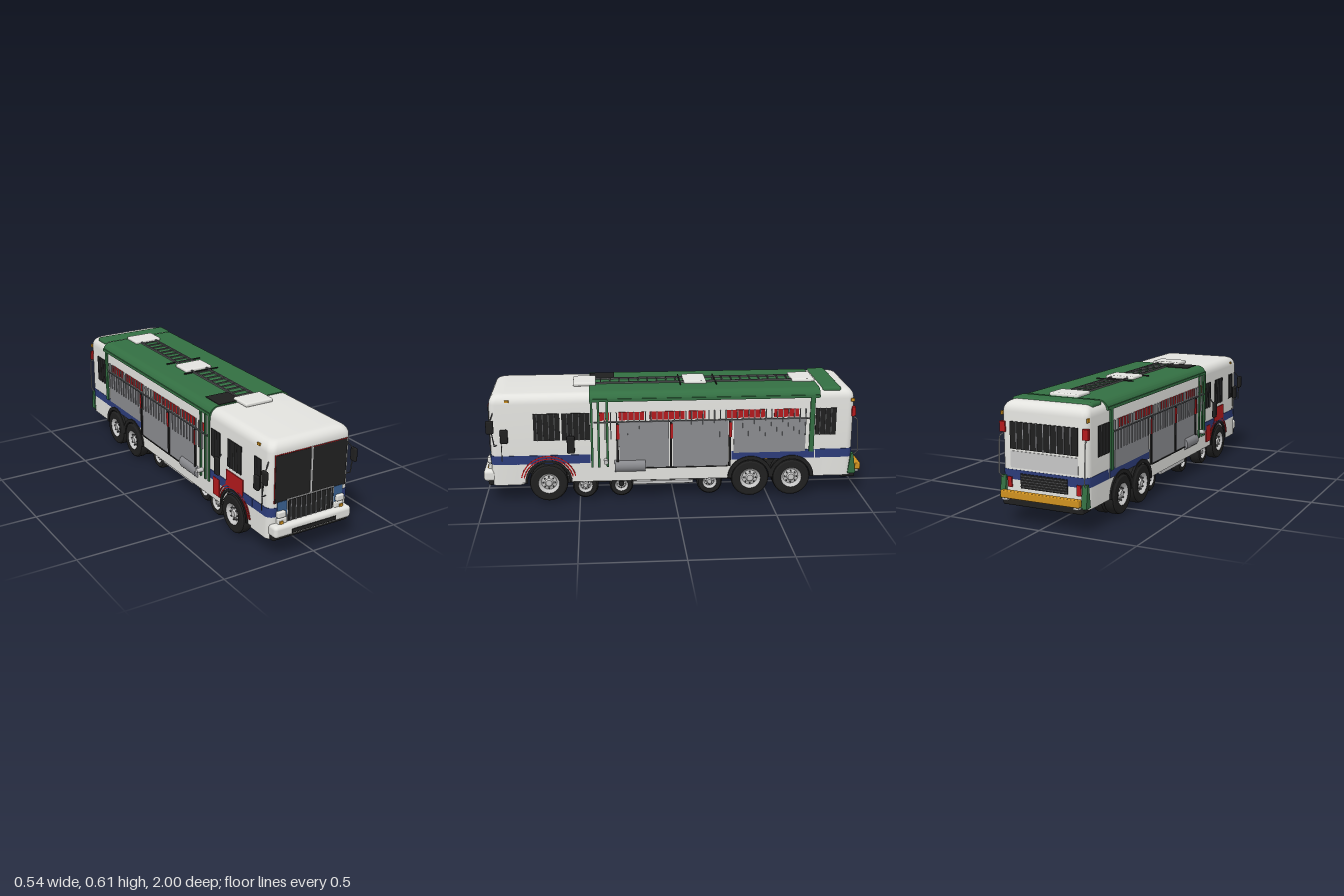
import * as THREE from 'three';
import { toCreasedNormals } from 'three/addons/utils/BufferGeometryUtils.js';
import { RoundedBoxGeometry } from 'three/addons/geometries/RoundedBoxGeometry.js';

export function createModel() {
  const bus = new THREE.Group();
  bus.name = 'bus';
  const paint = (name, color, extra = {}) => Object.assign(new THREE.MeshStandardMaterial({ color, ...extra }), { name });
  const white = paint('white', 0xe2e2de), green = paint('green', 0x336f42, { side: THREE.DoubleSide });
  const black = paint('black', 0x202020), navy = paint('navy', 0x2c3c7a), blue = paint('blue', 0x38608f);
  const red = paint('red', 0xb3191c), amber = paint('amber', 0xcf9120), grey = paint('grey', 0x8b8c90);
  const silver = paint('silver', 0xc6c6c6), steel = paint('darkSteel', 0x555658);
  const W = 0.231; // half width of the body

  const add = (name, geo, mat, x = 0, y = 0, z = 0) => {
    const m = new THREE.Mesh(geo, mat);
    m.name = name;
    m.position.set(x, y, z);
    bus.add(m);
    return m;
  };
  const box = (name, mat, w, h, d, x, y, z) => add(name, new THREE.BoxGeometry(w, h, d), mat, x, y, z);
  const soft = (name, mat, w, h, d, x, y, z, r) => add(name, new RoundedBoxGeometry(w, h, d, 3, r), mat, x, y, z);
  // plate on a side wall, given by how far it stands out and its side-view extents
  const panel = (name, mat, s, out, z0, z1, y0, y1) =>
    box(name, mat, 0.008, y1 - y0, Math.abs(z1 - z0), s * (W + out - 0.004), (y0 + y1) / 2, (z0 + z1) / 2);
  const rod = (name, mat, r, ...pts) => {
    const path = new THREE.CurvePath();
    const v = pts.map(p => new THREE.Vector3(...p));
    for (let i = 1; i < v.length; i++) path.add(new THREE.LineCurve3(v[i - 1], v[i]));
    return add(name, new THREE.TubeGeometry(path, (v.length - 1) * 4, r, 8), mat);
  };

  // rounded plan outline lofted upward through [height, inset] rings
  const loft = (w, z0, z1, r, rings) => {
    const pos = [], idx = [], N = 7, n = N * 4;
    for (const [y, inset] of rings) for (let c = 0; c < 4; c++) for (let i = 0; i < N; i++) {
      const a = (c + i / (N - 1)) * Math.PI / 2;
      const sx = c === 0 || c === 3 ? 1 : -1, front = c < 2;
      pos.push(sx * (w - inset - r) + r * Math.cos(a), y,
        (front ? z1 - inset - r : z0 + inset + r) + r * Math.sin(a));
    }
    for (let k = 0; k < rings.length - 1; k++) for (let j = 0; j < n; j++) {
      const a = k * n + j, b = k * n + (j + 1) % n;
      idx.push(a, a + n, b, b, a + n, b + n);
    }
    const last = (rings.length - 1) * n;
    for (let j = 1; j < n - 1; j++) {
      idx.push(last, last + j + 1, last + j);
      idx.push(0, j, j + 1);
    }
    const g = new THREE.BufferGeometry();
    g.setAttribute('position', new THREE.Float32BufferAttribute(pos, 3));
    g.setIndex(idx);
    return toCreasedNormals(g, 0.6);
  };

  // main shell with rolled roof edge
  const roll = [[0.24, 0], [0.535, 0]];
  for (let i = 1; i <= 6; i++) {
    const a = i / 6 * Math.PI / 2;
    roll.push([0.535 + 0.05 * Math.sin(a), 0.045 * (1 - Math.cos(a))]);
  }
  add('upperBody', loft(W, -0.945, 0.955, 0.035, roll), white);
  add('noseBody', loft(W, 0.78, 0.955, 0.035, [[0.1, 0], [0.24, 0]]), white);
  add('tailBody', loft(W, -0.945, -0.75, 0.035, [[0.11, 0], [0.24, 0]]), white);
  add('noseStripe', loft(W + 0.002, 0.7, 0.957, 0.037, [[0.213, 0], [0.26, 0]]), navy);
  add('tailStripe', loft(W + 0.002, -0.947, -0.72, 0.037, [[0.213, 0], [0.26, 0]]), navy);

  // lower side walls with wheel arches
  const skirt = new THREE.Shape();
  skirt.moveTo(-0.85, 0.11);
  skirt.lineTo(-0.74, 0.11);
  skirt.absarc(-0.62, 0.11, 0.115, Math.PI, Math.PI / 2, true);
  skirt.lineTo(-0.4, 0.225);
  skirt.absarc(-0.4, 0.11, 0.115, Math.PI / 2, 0, true);
  skirt.lineTo(0.54, 0.11);
  skirt.absarc(0.66, 0.11, 0.12, Math.PI, 0, true);
  skirt.lineTo(0.85, 0.11);
  skirt.lineTo(0.85, 0.25);
  skirt.lineTo(-0.85, 0.25);
  const skirtGeo = new THREE.ExtrudeGeometry(skirt, { depth: 0.03, bevelEnabled: false, curveSegments: 20 });
  // arc-shaped band in the side plane
  const band = (r0, r1, t, a0 = 0, a1 = Math.PI) => {
    const s = new THREE.Shape();
    s.absarc(0, 0, r1, a0, a1, false);
    s.absarc(0, 0, r0, a1, a0, true);
    return new THREE.ExtrudeGeometry(s, { depth: t, bevelEnabled: false, curveSegments: 24 });
  };
  const onSide = (name, geo, mat, x, y, z, t) => {
    for (const s of [-1, 1]) add(name, geo, mat, s > 0 ? x + t : -x, y, z).rotation.y = -Math.PI / 2;
  };
  onSide('sideSkirt', skirtGeo, white, W - 0.03, 0, 0, 0.03);
  onSide('frontArch', band(0.11, 0.123, 0.01), black, W - 0.005, 0.11, 0.66, 0.01);
  for (const r of [0.127, 0.141])
    onSide('redArchStripe', band(r, r + 0.006, 0.006, 0.2, 2.9), red, W - 0.002, 0.11, 0.66, 0.006);
  for (const z of [-0.62, -0.4]) onSide('rearArch', band(0.1, 0.12, 0.014), black, W - 0.006, 0.11, z, 0.014);

  // wheels
  const tyreProfile = [[0.055, -0.03], [0.088, -0.03], [0.097, -0.024], [0.1, -0.015], [0.1, 0.015], [0.097, 0.024], [0.088, 0.03], [0.055, 0.03]];
  const rimProfile = [[0, -0.028], [0.058, -0.028], [0.058, 0.03], [0.05, 0.024], [0.04, 0.01], [0.022, 0.016], [0.016, 0.026], [0, 0.026]];
  const lathe = p => toCreasedNormals(new THREE.LatheGeometry(p.map(q => new THREE.Vector2(...q)), 28), 0.5);
  const tyreGeo = lathe(tyreProfile), rimGeo = lathe(rimProfile);
  const nutGeo = new THREE.CylinderGeometry(0.004, 0.004, 0.012, 6);
  const wheel = (s, x, z, y, r) => {
    const g = new THREE.Group();
    g.name = 'wheel';
    g.add(new THREE.Mesh(tyreGeo, black), new THREE.Mesh(rimGeo, silver));
    for (let i = 0; i < 8; i++) {
      const nut = new THREE.Mesh(nutGeo, steel);
      nut.position.set(0.031 * Math.cos(i * Math.PI / 4), 0.016, 0.031 * Math.sin(i * Math.PI / 4));
      g.add(nut);
    }
    g.children.forEach((c, i) => { c.name = ['tyre', 'rim'][i] || 'wheelNut'; });
    g.rotation.z = -s * Math.PI / 2;
    g.position.set(s * x, y, z);
    g.scale.set(r / 0.1, 1, r / 0.1);
    bus.add(g);
  };
  for (const s of [-1, 1]) {
    for (const z of [-0.62, -0.4]) { wheel(s, 0.212, z, 0.108, 0.1); wheel(s, 0.148, z, 0.108, 0.1); }
    wheel(s, 0.212, 0.66, 0.108, 0.1);
    wheel(s, 0.185, 0.47, 0.08, 0.068);
    wheel(s, 0.14, 0.28, 0.063, 0.063);
    wheel(s, 0.16, -0.19, 0.075, 0.068);
  }

  // chassis and floor
  box('floor', black, 0.4, 0.02, 1.8, 0, 0.235, 0);
  box('bellyPan', black, 0.4, 0.13, 0.74, 0, 0.17, 0.13);
  box('chassisTray', black, 0.22, 0.05, 1.0, 0, 0.085, 0.15);
  for (const s of [-1, 1]) {
    box('frameRail', black, 0.025, 0.05, 1.8, s * 0.09, 0.14, 0);
    box('sillBar', silver, 0.014, 0.016, 0.32, s * 0.2, 0.087, 0.06);
  }
  for (const z of [-0.8, -0.3, 0.55, 0.8]) box('crossMember', steel, 0.38, 0.03, 0.03, 0, 0.14, z);
  for (const z of [-0.71, -0.51]) box('amberCrossMember', amber, 0.2, 0.02, 0.02, 0, 0.16, z);
  for (const z of [-0.62, -0.4, -0.19, 0.28, 0.47, 0.66])
    add('axle', new THREE.CylinderGeometry(0.014, 0.014, 0.36, 12), black, 0, z < -0.3 || z > 0.6 ? 0.108 : 0.072, z).rotation.z = Math.PI / 2;
  rod('drainPipe', black, 0.004, [0.028, 0.09, -0.09], [0.028, 0.01, -0.09]);

  // green roof cover
  const cover = new THREE.Shape();
  cover.moveTo(0.236, 0.545);
  cover.absellipse(0.19, 0.545, 0.046, 0.045, 0, Math.PI / 2, false);
  cover.absellipse(-0.19, 0.545, 0.046, 0.045, Math.PI / 2, Math.PI, false);
  const coverGeo = new THREE.ExtrudeGeometry(cover, { depth: 1.2, bevelEnabled: false, curveSegments: 10 });
  add('greenRoof', toCreasedNormals(coverGeo, 0.6), green, 0, 0, -0.76);
  soft('rearRoofCap', green, 0.43, 0.03, 0.1, 0, 0.578, -0.825, 0.014);
  for (const z of [0.465, -0.12, -0.7]) soft('roofHatch', white, 0.16, 0.02, 0.12, 0, 0.595, z, 0.008);
  box('roofPatch', black, 0.13, 0.006, 0.13, -0.115, 0.59, 0.37);

  // roof ladder
  for (const s of [-1, 1]) box('ladderRail', steel, 0.009, 0.01, 1.1, s * 0.046, 0.594, -0.12);
  for (let z = -0.62; z < 0.4; z += 0.05) box('ladderRung', steel, 0.092, 0.006, 0.006, 0, 0.595, z);
  for (const z of [-0.23, -0.04]) box('ladderClamp', black, 0.21, 0.006, 0.006, 0, 0.593, z);

  // both flanks
  for (const s of [-1, 1]) {
    for (const [z0, z1] of [[0.44, 0.82], [-0.74, -0.3]]) panel('sideStripe', navy, s, 0.003, z0, z1, 0.213, 0.26);
    const cabWindows = s > 0 ? [[0.595, 0.73], [0.44, 0.585]] : [[0.45, 0.53], [0.6, 0.72], [0.83, 0.885]];
    for (const [z0, z1] of [...cabWindows, [-0.85, -0.74]]) {
      panel('sideWindow', black, s, 0.004, z0, z1, 0.34, 0.485);
      for (let z = z0 + 0.025; z < z1 - 0.01; z += 0.03) panel('windowBar', steel, s, 0.008, z, z + 0.004, 0.34, 0.485);
    }
    for (const [z0, z1] of [[0.03, 0.29], [-0.28, 0.01]]) panel('cargoPanel', grey, s, 0.004, z0, z1, 0.18, 0.43);
    panel('rearCargoPanel', grey, s, 0.004, -0.69, -0.31, 0.25, 0.43);
    for (const [z0, z1] of [[0.34, 0.39], [0.16, 0.29], [-0.05, 0.13], [-0.16, -0.07], [-0.47, -0.27], [-0.65, -0.52]])
      panel('redSign', red, s, 0.003, z0, z1, 0.442, 0.485);
    for (let z = -0.69; z < 0.4; z += 0.03) panel('cageBar', grey, s, 0.008, z, z + 0.005, 0.34, 0.485);
    panel('cageTopRail', steel, s, 0.0095, -0.71, 0.42, 0.43, 0.436);
    panel('panelSill', black, s, 0.007, -0.28, 0.3, 0.176, 0.182);
    for (const z of [0.293, 0.014, -0.295]) {
      panel('blackPost', black, s, 0.0095, z, z + 0.012, 0.18, 0.43);
      panel('redPost', red, s, 0.011, z - 0.004, z + 0.01, 0.34, 0.42);
    }
    for (const z of [0.425, 0.39, 0.345]) panel('greenPost', green, s, 0.009, z, z + 0.012, 0.19, 0.55);
    panel('rearGreenPost', green, s, 0.009, -0.735, -0.71, 0.25, 0.55);
    panel('greenEaves', green, s, 0.0085, -0.76, 0.44, 0.543, 0.558);
    panel('doorSeam', black, s, 0.003, 0.895, 0.899, 0.23, 0.4);
    // side tank and its filler stub
    add('sideTank', new THREE.CylinderGeometry(0.037, 0.037, 0.16, 20), grey, s * 0.214, 0.192, 0.235).rotation.x = Math.PI / 2;
    add('fillerStub', new THREE.CylinderGeometry(0.012, 0.012, 0.05, 14), silver, s * 0.243, 0.225, 0.36).rotation.z = Math.PI / 2;
    // mirrors on tube arms
    for (const [x, y0, y1, z] of [[0.256, 0.39, 0.46, 0.95], [0.252, 0.335, 0.41, 0.88], [0.256, 0.275, 0.37, 0.54]])
      soft('mirror', black, 0.018, y1 - y0, 0.04, s * x, (y0 + y1) / 2, z, 0.008);
    rod('mirrorArm', steel, 0.003, [s * 0.22, 0.5, 0.93], [s * 0.255, 0.45, 0.95], [s * 0.256, 0.32, 0.93], [s * 0.22, 0.32, 0.92]);
    rod('sideMirrorArm', steel, 0.003, [s * 0.23, 0.38, 0.54], [s * 0.256, 0.35, 0.54]);
    // marker lamps
    box('markerLamp', amber, 0.008, 0.012, 0.02, s * 0.23, 0.553, 0.86);
    box('rearMarkerLamp', amber, 0.008, 0.018, 0.02, s * 0.228, 0.525, -0.935);
    box('tailLamp', red, 0.03, 0.05, 0.02, s * 0.22, 0.462, -0.942);
    box('lowerTailLamp', red, 0.022, 0.05, 0.01, s * 0.185, 0.2, -0.948);
    // green rear corner guard
    const fin = new THREE.Shape([[0.925, 0.12], [0.968, 0.12], [0.952, 0.23], [0.94, 0.23]].map(p => new THREE.Vector2(...p)));
    add('cornerGuard', new THREE.ExtrudeGeometry(fin, { depth: 0.028, bevelEnabled: false }), green, s * 0.218 - 0.014, 0, 0).rotation.y = Math.PI / 2;
    rod('rearGrabRail', silver, 0.003, [s * 0.22, 0.43, -0.945], [s * 0.228, 0.42, -0.965], [s * 0.228, 0.24, -0.975], [s * 0.22, 0.22, -0.95]);
  }
  // red patches beside the door
  panel('redPatch', red, -1, 0.005, 0.59, 0.74, 0.24, 0.32);
  panel('redPatch', red, -1, 0.005, 0.47, 0.53, 0.14, 0.235);

  // nose
  for (const s of [-1, 1]) {
    box('windscreenFrame', s < 0 ? red : steel, 0.203, 0.243, 0.004, s * 0.104, 0.404, 0.9555);
    box('windscreen', black, 0.198, 0.238, 0.006, s * 0.104, 0.403, 0.956);
    box('bluePanel', blue, 0.055, 0.085, 0.008, s * 0.161, 0.245, 0.957);
    soft('headlamp', white, 0.044, 0.032, 0.03, s * 0.17, 0.226, 0.962, 0.006);
    soft('lampShelf', white, 0.052, 0.028, 0.03, s * 0.164, 0.192, 0.958, 0.005);
    box('indicator', amber, 0.018, 0.014, 0.006, s * 0.174, 0.187, 0.975);
    add('fogLamp', new THREE.CylinderGeometry(0.009, 0.009, 0.01, 16), white, s * 0.12, 0.08, 0.763).rotation.x = Math.PI / 2;
  }
  box('windscreenTrim', red, 0.2, 0.003, 0.008, 0.104, 0.524, 0.956);
  box('windscreenPillar', silver, 0.009, 0.243, 0.01, 0, 0.404, 0.957);
  box('grilleFrame', silver, 0.27, 0.115, 0.012, 0, 0.235, 0.958);
  box('grille', black, 0.262, 0.109, 0.014, 0, 0.234, 0.9595);
  for (let i = -4; i <= 4; i++) box('grilleBar', grey, 0.0035, 0.109, 0.004, i * 0.029, 0.234, 0.968);
  soft('frontBumper', white, 0.445, 0.062, 0.09, 0, 0.149, 0.953, 0.018);
  soft('bumperSlot', black, 0.256, 0.022, 0.008, 0, 0.142, 0.997, 0.003);
  soft('frontValance', black, 0.438, 0.035, 0.07, 0, 0.115, 0.94, 0.01);
  box('frontBeam', black, 0.3, 0.05, 0.04, 0, 0.08, 0.74);

  // tail
  box('rearWindow', black, 0.36, 0.13, 0.006, 0, 0.425, -0.947);
  for (let i = -4; i <= 4; i++) box('rearWindowBar', grey, 0.004, 0.13, 0.004, i * 0.036, 0.425, -0.951);
  box('rearPanel', silver, 0.36, 0.08, 0.005, 0, 0.31, -0.946);
  box('rearGrille', black, 0.25, 0.07, 0.008, 0, 0.21, -0.948);
  for (let i = 0; i < 5; i++) box('rearGrilleSlat', steel, 0.25, 0.003, 0.004, 0, 0.184 + i * 0.013, -0.953);
  soft('rearBumper', amber, 0.42, 0.036, 0.03, 0, 0.15, -0.985, 0.005);
  for (const s of [-1, 1]) box('bumperStay', silver, 0.03, 0.02, 0.06, s * 0.19, 0.13, -0.96);
  soft('rearValance', black, 0.43, 0.035, 0.08, 0, 0.11, -0.93, 0.008);
  return bus;
}
